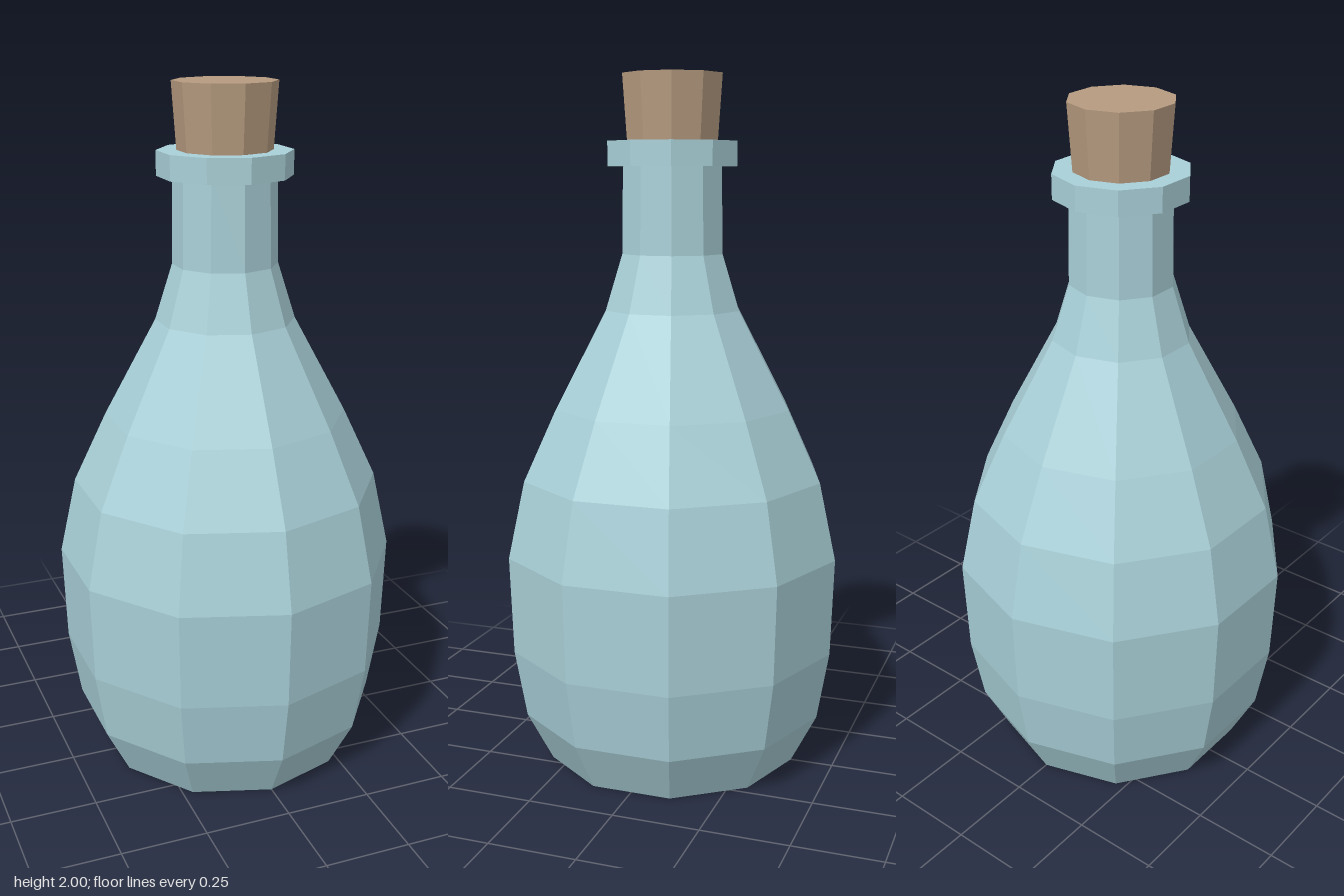
import * as THREE from 'three';

const SIDES = 10;

// Faceted solid of revolution from [radius, height] pairs, bottom to top
function turned(name, profile, material) {
  const points = profile.map(([r, y]) => new THREE.Vector2(r, y));
  const mesh = new THREE.Mesh(new THREE.LatheGeometry(points, SIDES), material);
  mesh.name = name;
  return mesh;
}

export function createModel() {
  const glass = new THREE.MeshStandardMaterial({ color: 0xa9d0d8, flatShading: true });
  const cork = new THREE.MeshStandardMaterial({ color: 0xb59a7f, flatShading: true });

  const bottle = new THREE.Group();
  bottle.name = 'corkedBottle';

  // Closed base, rounded belly, sloping shoulder and narrow neck
  bottle.add(turned('bottleBody', [
    [0, 0], [0.375, 0], [0.45, 0.145], [0.485, 0.345], [0.495, 0.63],
    [0.446, 0.855], [0.35, 1.06], [0.2, 1.34], [0.15, 1.5], [0.146, 1.76],
  ], glass));

  // Collar around the mouth
  bottle.add(turned('lipRing', [
    [0.13, 1.745], [0.191, 1.745], [0.191, 1.815], [0.13, 1.815],
  ], glass));

  // Tapered stopper, seated inside the mouth
  bottle.add(turned('corkStopper', [
    [0, 1.75], [0.13, 1.75], [0.134, 1.815], [0.147, 2], [0, 2],
  ], cork));

  return bottle;
}
